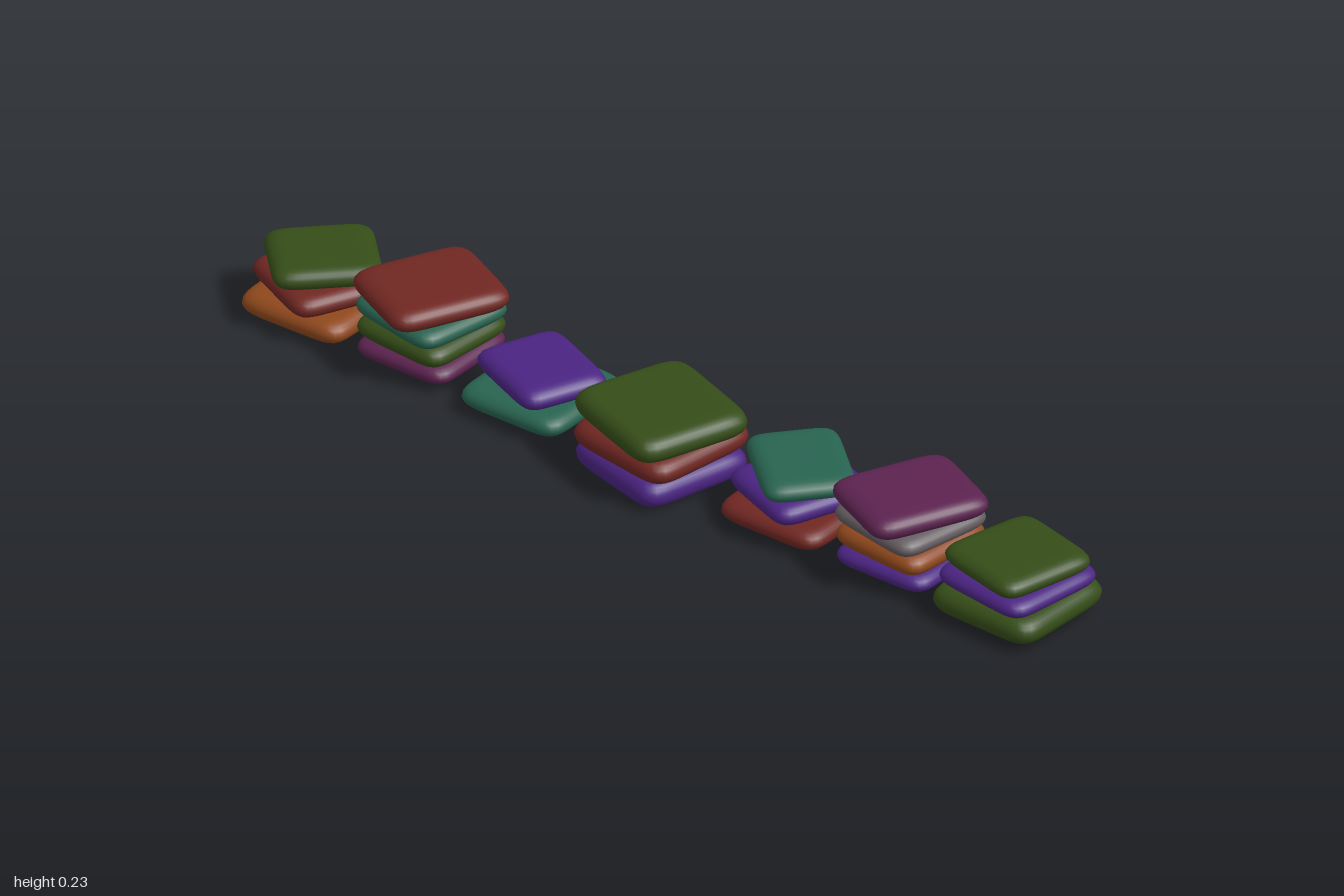
import * as THREE from 'three';
import { mergeVertices } from 'three/addons/utils/BufferGeometryUtils.js';

const COLORS = {
  green: 0x354d18, red: 0x702722, purple: 0x4b2482, teal: 0x286350,
  plum: 0x5c2350, grey: 0x645c60, orange: 0x8f481c,
};

// Soft flat stone: a turned profile pushed out to a rounded rectangle
function slabGeometry(w, d, h) {
  const rim = 0.038, inner = 1 - rim / (Math.min(w, d) / 2);
  const half = [[0, 0.5], [inner * 0.5, 0.495], [inner * 0.85, 0.48]];
  for (let i = 0; i <= 6; i++) {
    const a = (i / 6) * Math.PI / 2;
    half.push([inner + (1 - inner) * Math.sin(a), 0.47 * Math.cos(a)]);
  }
  const profile = [
    ...half.map(([r, y]) => new THREE.Vector2(r, -y * h)),
    ...half.slice(0, -1).reverse().map(([r, y]) => new THREE.Vector2(r, y * h)),
  ];
  let geo = new THREE.LatheGeometry(profile, 72);
  const p = geo.attributes.position, n = 7;
  for (let i = 0; i < p.count; i++) {
    const x = p.getX(i), z = p.getZ(i), r = Math.hypot(x, z);
    if (r < 1e-6) continue;
    const c = x / r, s = z / r;
    const k = r / (Math.abs(c * 2 / w) ** n + Math.abs(s * 2 / d) ** n) ** (1 / n);
    p.setXYZ(i, c * k, p.getY(i), s * k);
  }
  geo.deleteAttribute('uv');
  geo.deleteAttribute('normal');
  geo = mergeVertices(geo, 1e-5);
  geo.computeVertexNormals();
  return geo;
}

// Each stack: centre x, z, then slabs as [colour, width, depth, bottom, top, turn in degrees]
const STACKS = [
  [-0.79, -0.79, [
    ['orange', 0.315, 0.315, 0.01, 0.075, 48],
    ['red', 0.28, 0.28, 0.068, 0.13, 22],
    ['green', 0.275, 0.25, 0.125, 0.187, 2]]],
  [-0.545, -0.55, [
    ['plum', 0.285, 0.285, 0.015, 0.07, 47],
    ['green', 0.285, 0.285, 0.063, 0.125, 42],
    ['teal', 0.29, 0.29, 0.118, 0.175, 36],
    ['red', 0.325, 0.285, 0.163, 0.227, 21]]],
  [-0.295, -0.30, [
    ['teal', 0.31, 0.31, 0.012, 0.072, 47],
    ['purple', 0.24, 0.285, 0.068, 0.132, 24]]],
  [-0.03, 0.03, [
    ['purple', 0.33, 0.33, 0, 0.08, 32],
    ['red', 0.335, 0.335, 0.07, 0.14, 38],
    ['green', 0.33, 0.35, 0.13, 0.205, 27]]],
  [0.292, 0.29, [
    ['red', 0.31, 0.31, 0.012, 0.072, 47],
    ['purple', 0.28, 0.27, 0.067, 0.13, 26],
    ['teal', 0.235, 0.295, 0.125, 0.185, 6]]],
  [0.54, 0.53, [
    ['purple', 0.285, 0.285, 0.015, 0.07, 47],
    ['orange', 0.285, 0.285, 0.063, 0.125, 42],
    ['grey', 0.29, 0.29, 0.118, 0.175, 36],
    ['plum', 0.325, 0.28, 0.163, 0.227, 22]]],
  [0.782, 0.772, [
    ['green', 0.325, 0.325, 0.012, 0.088, 45],
    ['purple', 0.3, 0.3, 0.08, 0.135, 39],
    ['green', 0.28, 0.28, 0.128, 0.185, 33]]],
];

export function createModel() {
  const model = new THREE.Group();
  model.name = 'stoneStacks';
  const materials = {};
  for (const key in COLORS) materials[key] = new THREE.MeshStandardMaterial({ color: COLORS[key] });

  STACKS.forEach(([x, z, slabs], i) => {
    const stack = new THREE.Group();
    stack.name = `stack${i + 1}`;
    stack.position.set(x, 0, z);
    slabs.forEach(([color, w, d, y0, y1, turn], j) => {
      const slab = new THREE.Mesh(slabGeometry(w, d, y1 - y0), materials[color]);
      slab.name = `slab${j + 1}`;
      slab.position.y = (y0 + y1) / 2;
      slab.rotation.y = THREE.MathUtils.degToRad(turn);
      stack.add(slab);
    });
    model.add(stack);
  });
  return model;
}
